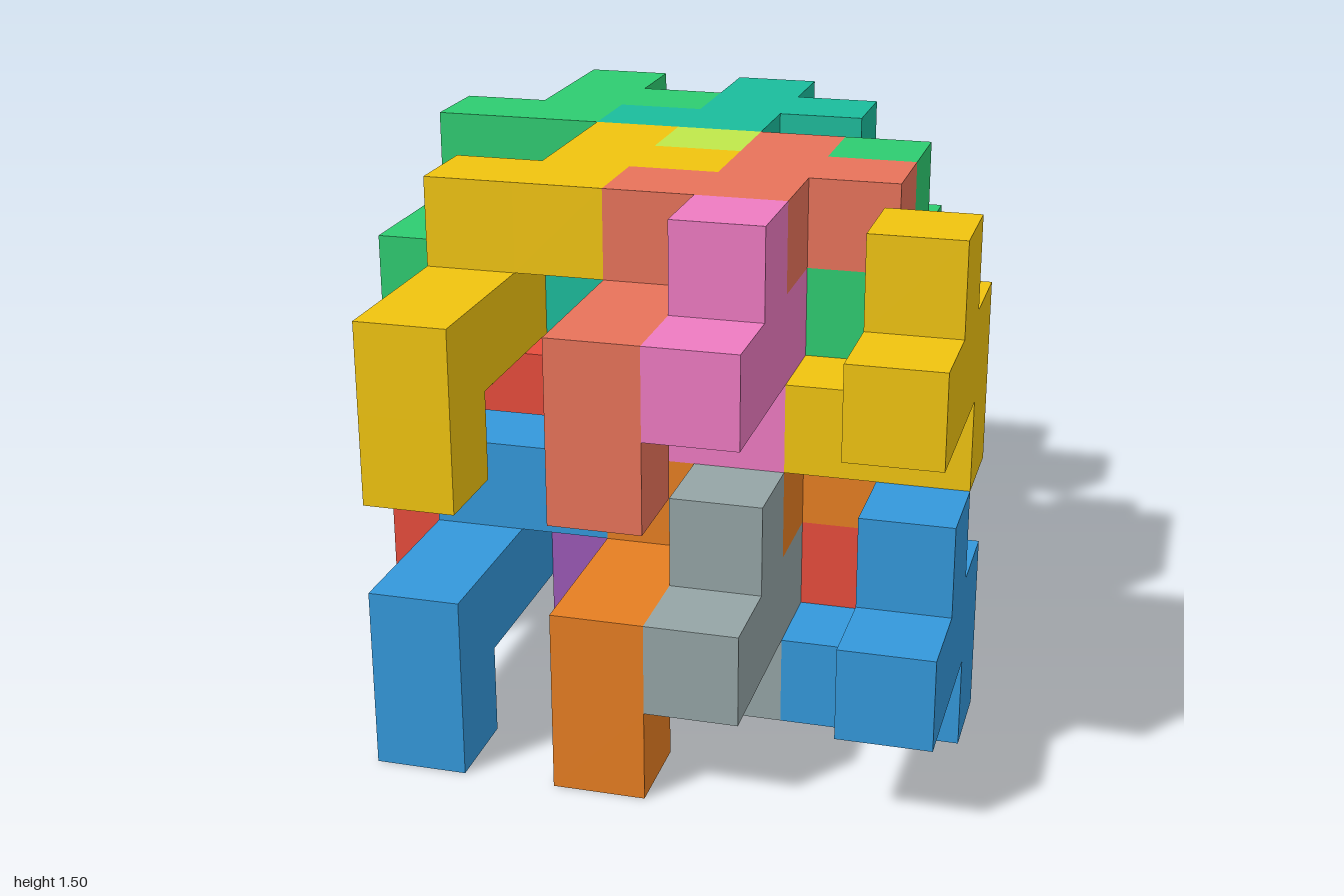
import * as THREE from 'three';
import { mergeGeometries } from 'three/addons/utils/BufferGeometryUtils.js';

const U = 0.25; // edge of one cube cell

// Cells are [column, layer, row]; every piece has nine of them.
// Hook piece: bent plate on top, bar in the middle, foot under the bar's front end.
const HOOK = [
  [0, 2, 0], [1, 2, 0], [1, 2, -1], [1, 2, -2], [2, 2, -1],
  [0, 1, 0], [0, 1, 1], [0, 1, 2],
  [0, 0, 2],
];
// Step piece: zigzag plate at the bottom, bar in the middle, knob on the bar.
const STEP = [
  [0, 0, 0], [-1, 0, 0], [-1, 0, -1], [-1, 0, -2], [-2, 0, -2],
  [0, 1, 0], [0, 1, 1], [0, 1, 2],
  [0, 2, 1],
];

// Outward directions with the rotation that turns a plane to face them
const SIDES = [
  [[1, 0, 0], [0, Math.PI / 2, 0]], [[-1, 0, 0], [0, -Math.PI / 2, 0]],
  [[0, 1, 0], [-Math.PI / 2, 0, 0]], [[0, -1, 0], [Math.PI / 2, 0, 0]],
  [[0, 0, 1], [0, 0, 0]], [[0, 0, -1], [0, Math.PI, 0]],
];

// Closed skin around a set of cells, without walls between neighbours
function skin(cells) {
  const filled = new Set(cells.map(String));
  const faces = [];
  for (const c of cells) {
    for (const [d, r] of SIDES) {
      if (filled.has(String(c.map((v, i) => v + d[i])))) continue;
      const face = new THREE.PlaneGeometry(U, U);
      face.rotateX(r[0]).rotateY(r[1]);
      face.translate(...c.map((v, i) => (v + d[i] / 2) * U));
      faces.push(face);
    }
  }
  return mergeGeometries(faces);
}

// Column and row where each piece's bar starts, and its colour in [lower, upper] tier
const PIECES = [
  ['hookBackLeft', 'hook', 0, 2, [0xe74c3c, 0x2ecc71]],
  ['hookFrontLeft', 'hook', 1, 5, [0x3498db, 0xf1c40f]],
  ['hookBackMiddle', 'hook', 2, 2, [0x9b59b6, 0x1abc9c]],
  ['hookFrontMiddle', 'hook', 3, 5, [0xe67e22, 0xe8735a]],
  ['stepBackMiddle', 'step', 3, 2, [0x34495e, 0xbfe84a]],
  ['stepFrontMiddle', 'step', 4, 5, [0x95a5a6, 0xee7bc2]],
  ['stepBackRight', 'step', 5, 2, [0xe74c3c, 0x2ecc71]],
  ['stepFrontRight', 'step', 6, 5, [0x3498db, 0xf1c40f]],
];

export function createModel() {
  const model = new THREE.Group();
  model.name = 'interlockingCubePieces';
  const shapes = { hook: skin(HOOK), step: skin(STEP) };

  // Two identical tiers, stacked
  ['lowerTier', 'upperTier'].forEach((tierName, t) => {
    const tier = new THREE.Group();
    tier.name = tierName;
    tier.position.y = t * 3 * U;
    for (const [name, shape, col, row, colors] of PIECES) {
      const material = new THREE.MeshStandardMaterial({ color: colors[t] });
      const piece = new THREE.Mesh(shapes[shape], material);
      piece.name = name;
      piece.position.set((col - 3) * U, U / 2, (row - 3.5) * U);
      tier.add(piece);
    }
    model.add(tier);
  });
  return model;
}
